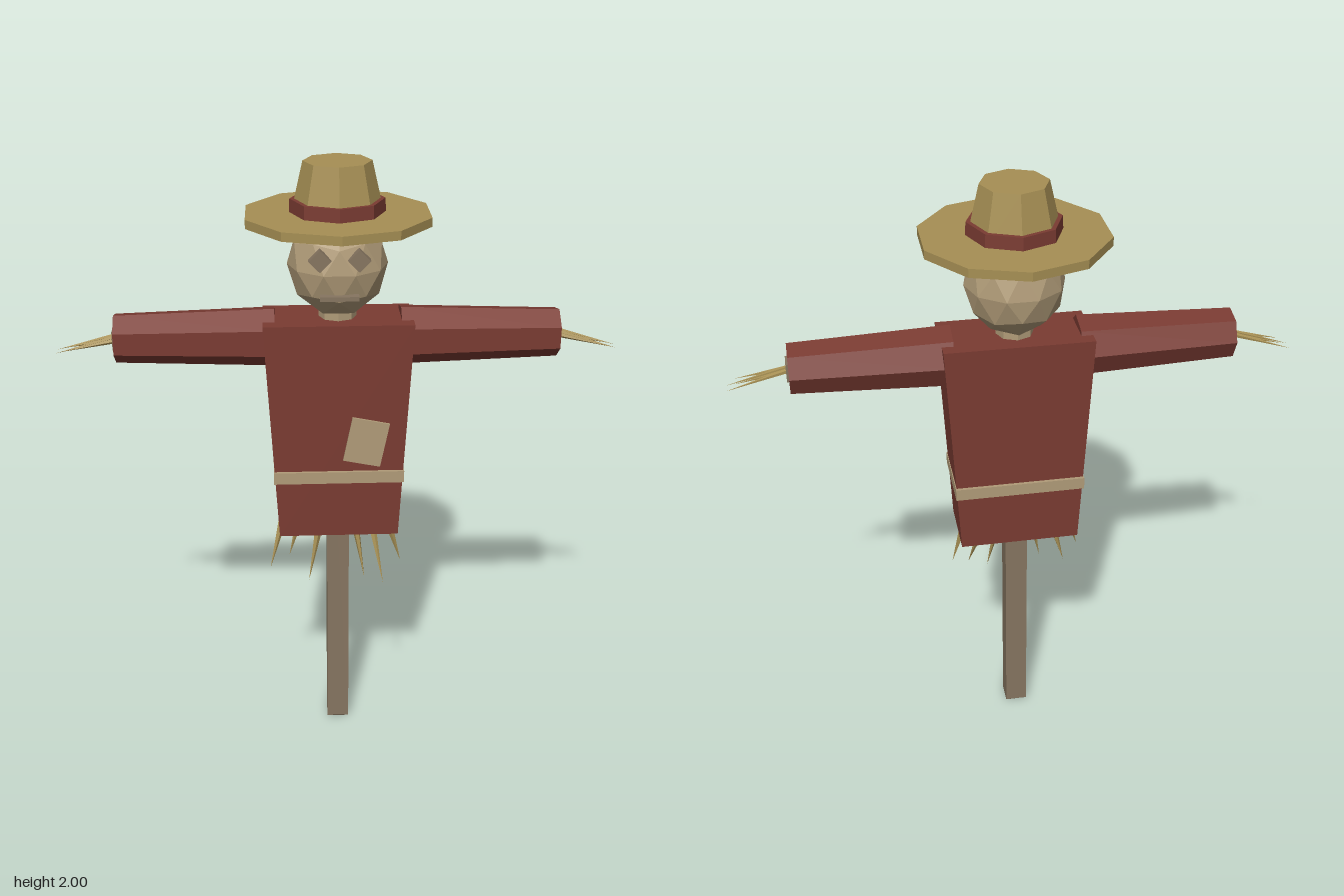
import * as THREE from 'three';

const mat = (name, color) => {
  const m = new THREE.MeshStandardMaterial({ color });
  m.name = name;
  m.flatShading = true;
  return m;
};

export function createModel() {
  const cloth = mat('red cloth', 0x7a3b32);
  const straw = mat('straw', 0xa68f54);
  const burlap = mat('burlap', 0xb09b78);
  const wood = mat('weathered wood', 0x867560);

  const model = new THREE.Group();
  model.name = 'scarecrow';
  const body = new THREE.Group();
  body.name = 'body';
  body.position.x = -0.01;
  model.add(body);

  const add = (name, geometry, material, x = 0, y = 0, z = 0) => {
    const mesh = new THREE.Mesh(geometry, material);
    mesh.name = name;
    mesh.position.set(x, y, z);
    body.add(mesh);
    return mesh;
  };

  // Thin cone running from a base point to a tip
  const strand = (name, from, to, radius) => {
    const a = new THREE.Vector3(...from), b = new THREE.Vector3(...to);
    const dir = b.clone().sub(a);
    const mesh = add(name, new THREE.ConeGeometry(radius, dir.length(), 5), straw);
    mesh.position.copy(a).add(b).multiplyScalar(0.5);
    mesh.quaternion.setFromUnitVectors(new THREE.Vector3(0, 1, 0), dir.normalize());
  };

  // Post with slightly bevelled edges, and the hidden crossbar
  const s = 0.032, bevel = 0.005;
  const square = new THREE.Shape([
    new THREE.Vector2(-s, -s), new THREE.Vector2(s, -s),
    new THREE.Vector2(s, s), new THREE.Vector2(-s, s),
  ]);
  const postGeo = new THREE.ExtrudeGeometry(square, {
    depth: 1.5 - 2 * bevel, bevelEnabled: true, bevelSize: bevel,
    bevelThickness: bevel, bevelSegments: 1,
  });
  postGeo.rotateX(-Math.PI / 2);
  add('post', postGeo, wood, 0, bevel, 0);
  add('crossbar', new THREE.BoxGeometry(1.425, 0.06, 0.06), wood, 0, 1.445, 0);

  // Shirt: box that widens toward the shoulders
  const shirtGeo = new THREE.BoxGeometry(1, 0.73, 0.217);
  const p = shirtGeo.attributes.position;
  for (let i = 0; i < p.count; i++) {
    p.setX(i, p.getX(i) * (p.getY(i) > 0 ? 0.475 : 0.392));
  }
  shirtGeo.computeVertexNormals();
  add('shirt', shirtGeo, cloth, 0, 1.145, 0);
  add('belt', new THREE.BoxGeometry(0.424, 0.04, 0.238), burlap, 0, 0.995, 0);
  add('patch', new THREE.BoxGeometry(0.122, 0.152, 0.009), burlap, 0.088, 1.118, 0.1125).rotation.z = -0.2;

  // Sleeves and straw hands
  for (const side of [-1, 1]) {
    const label = side > 0 ? 'left' : 'right';
    const sleeve = new THREE.CylinderGeometry(0.08, 0.097, 0.505, 7, 1, false, Math.PI);
    sleeve.rotateZ(-side * Math.PI / 2);
    add(label + 'Sleeve', sleeve, cloth, side * 0.4525, 1.447, 0);
    const zShift = side > 0 ? 0.013 : -0.018;
    for (let i = 0; i < 4; i++) {
      const t = i / 3 - 0.5;
      strand(label + 'HandStraw', [side * 0.69, 1.452 - 0.008 * (i % 2), t * 0.03],
        [side * (0.9 - 0.025 * (i % 2)), 1.393 + 0.012 * (i % 2), zShift + t * 0.055], 0.009);
    }
  }

  // Straw poking out under the shirt: base x, tip x, tip y, base z, tip z
  const tufts = [
    [-0.185, -0.23, 0.63, 0.01, 0.05], [-0.12, -0.165, 0.63, -0.03, -0.035],
    [-0.06, -0.1, 0.585, 0.03, 0.065], [0.055, 0.09, 0.58, 0.0, 0.045],
    [0.11, 0.152, 0.575, -0.02, 0.08], [0.165, 0.215, 0.63, 0.02, 0.02],
  ];
  for (const [bx, tx, ty, bz, tz] of tufts) {
    strand('hemStraw', [bx, 0.8, bz], [tx, ty, tz], 0.016);
  }

  // Neck and faceted head with a vertex at each pole
  add('neck', new THREE.CylinderGeometry(0.06, 0.06, 0.07, 8), burlap, 0, 1.505, 0);
  const headGeo = new THREE.IcosahedronGeometry(1, 1);
  headGeo.rotateX(-Math.atan((1 + Math.sqrt(5)) / 2));
  headGeo.scale(0.158, 0.168, 0.158);
  add('head', headGeo, burlap, 0, 1.682, 0);

  // Face
  for (const side of [-1, 1]) {
    add(side > 0 ? 'leftEye' : 'rightEye', new THREE.BoxGeometry(0.049, 0.049, 0.03),
      wood, side * 0.06, 1.73, 0.143).rotation.z = Math.PI / 4;
  }
  add('mouth', new THREE.BoxGeometry(0.12, 0.014, 0.03), wood, 0, 1.613, 0.145);

  // Hat
  add('hatBrim', new THREE.CylinderGeometry(0.297, 0.297, 0.028, 10), straw, 0, 1.83, 0);
  add('hatBand', new THREE.CylinderGeometry(0.147, 0.149, 0.042, 8), cloth, 0, 1.864, 0);
  add('hatCrown', new THREE.CylinderGeometry(0.106, 0.143, 0.16, 8), straw, 0, 1.92, 0);

  return model;
}
